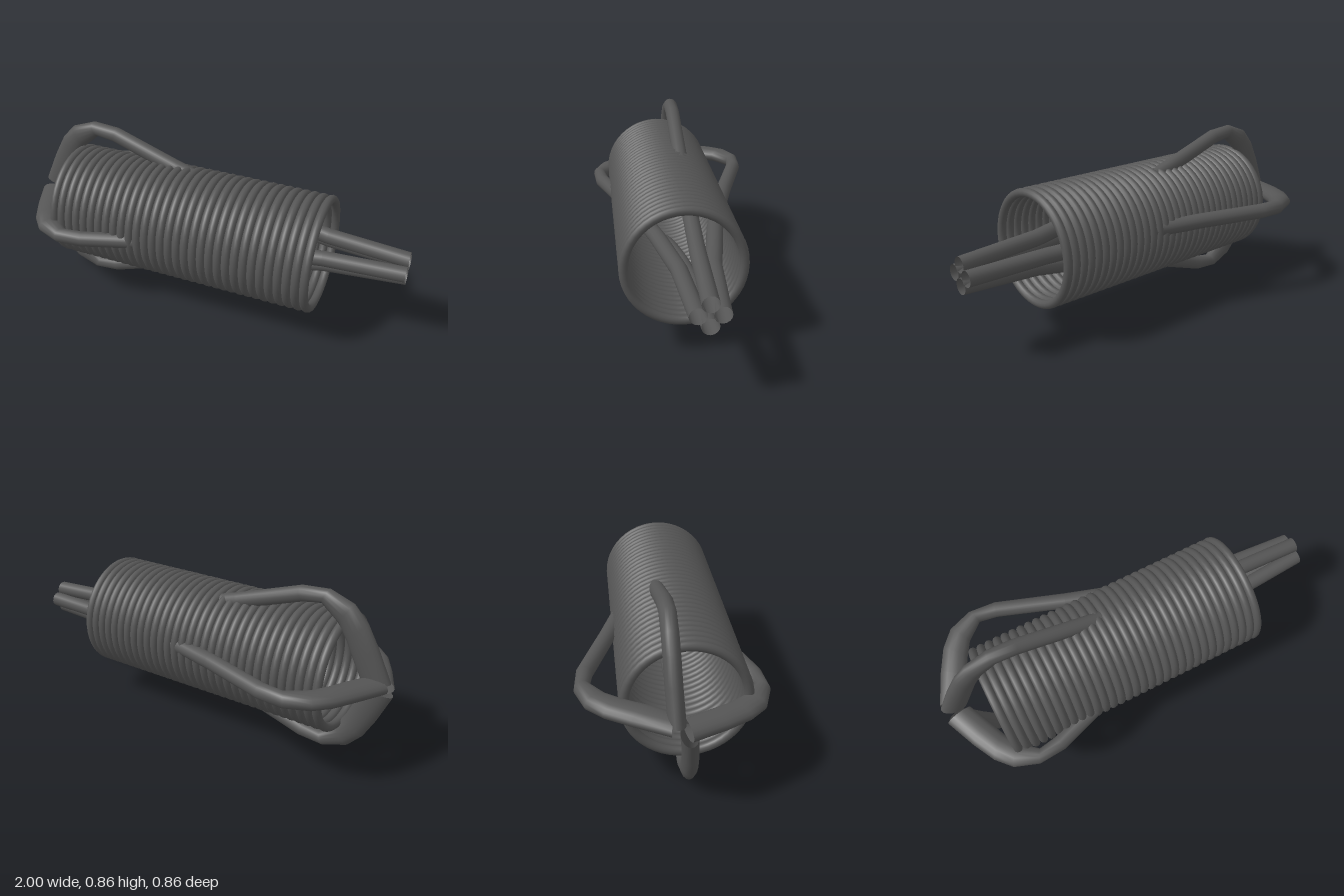
import * as THREE from 'three';

const CENTRE_Y = 0.425;
const PRONG_HALF_WIDTH = 0.038;

// Prong side profile: [outer x, outer radius, inner x, inner radius, share of sideways drift]
const PROFILE = [
  [1.0, 0.088, 1.0, 0.012, 0],
  [0.61, 0.115, 0.60, 0.038, 0.2],
  [0.27, 0.178, 0.25, 0.1, 0.45],
  [0.0, 0.242, -0.025, 0.165, 0.7],
  [-0.2, 0.303, -0.225, 0.228, 0.85],
  [-0.54, 0.418, -0.56, 0.344, 1],
  [-0.68, 0.428, -0.65, 0.36, 1],
  [-0.8, 0.385, -0.735, 0.285, 1],
  [-0.87, 0.31, -0.78, 0.21, 0.95],
  [-0.93, 0.2, -0.82, 0.12, 0.85],
  [-1.0, 0.045, -0.87, 0.015, 0.6],
];

// Hollow elliptical sweep along the profile, turned about the x axis
function prongGeometry(angle, drift, sides = 16) {
  const c = Math.cos(angle), s = Math.sin(angle);
  const positions = [], index = [];
  PROFILE.forEach(([xo, ro, xi, ri, share], i) => {
    for (let j = 0; j < sides; j++) {
      const t = (j / sides) * Math.PI * 2;
      const u = Math.cos(t) / 2;
      const x = (xo + xi) / 2 + (xo - xi) * u;
      const r = (ro + ri) / 2 + (ro - ri) * u;
      const side = drift * share + PRONG_HALF_WIDTH * Math.sin(t);
      positions.push(x, CENTRE_Y + r * c - side * s, r * s + side * c);
      if (i < PROFILE.length - 1) {
        const k = (j + 1) % sides;
        const a = i * sides + j, b = i * sides + k;
        index.push(a, a + sides, b, b, a + sides, b + sides);
      }
    }
  });
  const g = new THREE.BufferGeometry();
  g.setAttribute('position', new THREE.Float32BufferAttribute(positions, 3));
  g.setIndex(index);
  g.computeVertexNormals();
  return g;
}

export function createModel() {
  const model = new THREE.Group();
  model.name = 'coilWithProngs';
  const metal = new THREE.MeshStandardMaterial({ color: 0x555555, side: THREE.DoubleSide });
  metal.name = 'dark grey metal';

  // Coil: a stack of touching rings along x
  const coil = new THREE.Group();
  coil.name = 'coil';
  const ringGeometry = new THREE.TorusGeometry(0.27, 0.0215, 12, 48);
  ringGeometry.rotateY(Math.PI / 2);
  const count = 32;
  for (let i = 0; i < count; i++) {
    const ring = new THREE.Mesh(ringGeometry, metal);
    ring.name = 'coilRing';
    ring.position.set(-0.742 + (1.331 * i) / (count - 1), 0.427, 0.05);
    coil.add(ring);
  }
  model.add(coil);

  // Four bent prongs, each leaning slightly to one side
  const prongs = [
    ['topProng', 0, -0.027],
    ['frontProng', 1, 0.01],
    ['bottomProng', 2, -0.06],
    ['backProng', 3, 0.043],
  ];
  for (const [name, quarter, drift] of prongs) {
    const prong = new THREE.Mesh(prongGeometry((quarter * Math.PI) / 2, drift), metal);
    prong.name = name;
    model.add(prong);
  }
  return model;
}
